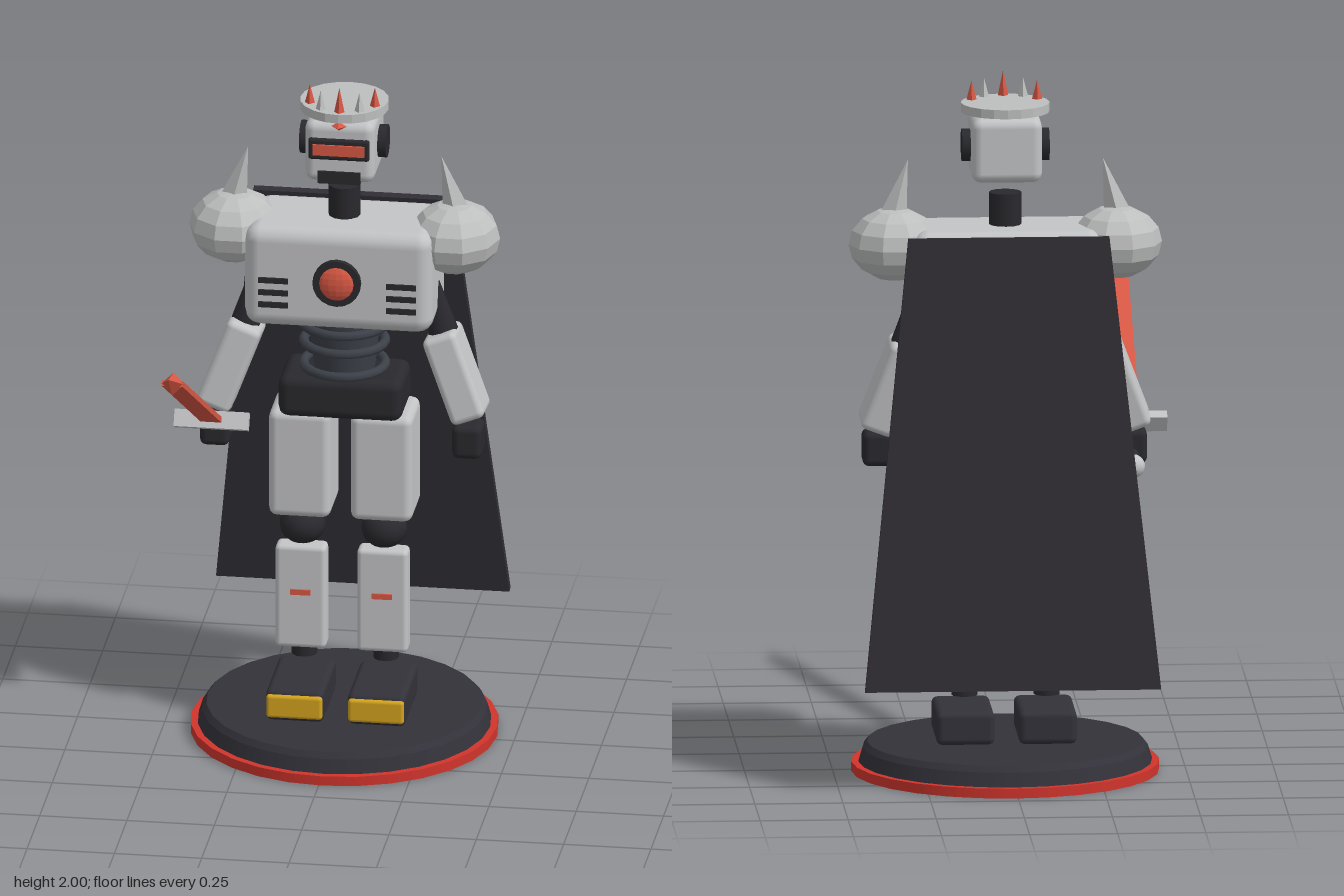
import * as THREE from 'three';
import { RoundedBoxGeometry } from 'three/addons/geometries/RoundedBoxGeometry.js';

export function createModel() {
  const mat = (name, color, flatShading = false) => {
    const m = new THREE.MeshStandardMaterial({ color });
    m.name = name;
    m.flatShading = flatShading;
    return m;
  };
  const armor = mat('armor grey', 0xc3c4c6);
  const steel = mat('facet grey', 0xbdbebe, true);
  const dark = mat('charcoal', 0x33323a);
  const joint = mat('joint black', 0x29292e);
  const rib = mat('rib slate', 0x3c4048);
  const cloth = mat('cape charcoal', 0x302e34);
  const red = mat('base red', 0xd0342c);
  const glow = mat('glow red', 0xd95844, true);
  const gold = mat('toe gold', 0xd4a31e);

  const model = new THREE.Group();
  model.name = 'armoredRobot';
  // Everything is built around the axis of the stand
  const body = new THREE.Group();
  body.name = 'figure';
  body.position.set(0.011, 0, -0.275);
  model.add(body);

  const add = (name, geo, material, x, y, z, parent = body) => {
    const m = new THREE.Mesh(geo, material);
    m.name = name;
    m.position.set(x, y, z);
    parent.add(m);
    return m;
  };
  const box = (w, h, d) => new THREE.BoxGeometry(w, h, d);
  const soft = (w, h, d, r = 0.018) => new RoundedBoxGeometry(w, h, d, 2, r);
  const cyl = (rt, rb, h, n = 16) => new THREE.CylinderGeometry(rt, rb, h, n);

  // Stand
  add('standRim', cyl(0.437, 0.437, 0.028, 28), red, 0, 0.014, 0);
  add('standLower', cyl(0.405, 0.417, 0.04, 28), dark, 0, 0.048, 0);
  add('standTop', cyl(0.392, 0.405, 0.017, 28), dark, 0, 0.0765, 0);

  // Pelvis and ribbed waist
  add('pelvis', soft(0.355, 0.125, 0.21, 0.03), joint, 0, 1.043, 0);
  add('waist', cyl(0.108, 0.085, 0.2), rib, 0, 1.19, 0);
  for (const y of [1.245, 1.19, 1.12]) {
    const ring = add('waistRing', new THREE.TorusGeometry(0.116, 0.014, 8, 24), rib, 0, y, 0);
    ring.rotation.x = Math.PI / 2;
  }

  // Chest with glowing core
  add('chest', soft(0.54, 0.305, 0.29, 0.045), armor, 0, 1.422, 0);
  add('coreRing', cyl(0.069, 0.069, 0.03, 20), joint, 0, 1.423, 0.147).rotation.x = Math.PI / 2;
  const core = add('core', new THREE.SphereGeometry(0.057, 16, 10), glow, 0, 1.423, 0.15);
  core.scale.z = 0.45;
  add('neck', cyl(0.046, 0.046, 0.12, 12), joint, 0, 1.607, 0);

  // Head
  add('head', soft(0.2, 0.185, 0.22, 0.028), armor, 0, 1.802, 0);
  add('visor', soft(0.175, 0.064, 0.02, 0.008), joint, 0, 1.815, 0.11);
  add('visorGlow', box(0.148, 0.032, 0.008), glow, 0, 1.815, 0.122);
  add('chinGuard', box(0.122, 0.037, 0.02), joint, 0, 1.729, 0.106);
  add('ears', cyl(0.047, 0.047, 0.248, 16), joint, 0, 1.804, 0).rotation.z = Math.PI / 2;

  // Crown with alternating spikes along its front
  add('crownDisc', cyl(0.126, 0.126, 0.026, 20), steel, 0, 1.913, 0);
  add('crownGem', new THREE.OctahedronGeometry(0.022), glow, 0, 1.886, 0.11).scale.y = 0.6;
  for (let i = -2; i <= 2; i++) {
    const a = i * 0.575, h = i === 0 ? 0.08 : 0.062;
    add('crownSpike', new THREE.ConeGeometry(0.016, h, 4), i % 2 ? steel : glow,
      Math.sin(a) * 0.102, 1.92 + h / 2, Math.cos(a) * 0.102);
  }

  // Mirrored limbs
  for (const s of [-1, 1]) {
    const side = s > 0 ? 'left' : 'right';

    for (const y of [1.418, 1.381, 1.344]) add(side + 'Vent', box(0.085, 0.016, 0.009), joint, s * 0.183, y, 0.147);

    // Shoulder and arm
    const pad = add(side + 'Shoulder', new THREE.SphereGeometry(1, 10, 8), steel, s * 0.315, 1.521, -0.005);
    pad.scale.set(0.13, 0.104, 0.135);
    const spike = add(side + 'ShoulderSpike', new THREE.ConeGeometry(0.044, 0.19, 4), steel, s * 0.3, 1.672, -0.005);
    spike.rotation.z = s * 0.25;
    spike.scale.z = 0.7;
    const upper = add(side + 'UpperArm', cyl(0.01, 0.046, 0.2, 10), joint, s * 0.268, 1.315, 0);
    upper.rotation.z = s * 0.18;
    const fore = add(side + 'Forearm', soft(0.102, 0.265, 0.15, 0.02), armor, s * 0.322, 1.11, 0.012);
    fore.rotation.set(-0.1, 0, s * 0.36);
    add(side + 'Hand', soft(0.086, 0.1, 0.096, 0.02), joint, s * 0.361, 0.926, 0.043);

    // Leg
    const x = s * 0.117;
    add(side + 'Thigh', soft(0.178, 0.323, 0.19, 0.025), armor, x, 0.834, 0);
    const knee = add(side + 'Knee', new THREE.SphereGeometry(0.066, 14, 10), joint, x, 0.628, 0.02);
    knee.scale.y = 0.85;
    add(side + 'ShinCore', cyl(0.03, 0.037, 0.38, 12), joint, x, 0.41, -0.015);
    add(side + 'ShinGuard', soft(0.146, 0.312, 0.065, 0.015), armor, x, 0.42, 0.035);
    add(side + 'ShinLight', box(0.058, 0.016, 0.009), glow, x, 0.437, 0.069);
    add(side + 'Foot', soft(0.165, 0.096, 0.27, 0.018), dark, x, 0.133, 0.05);
    add(side + 'ToePlate', soft(0.16, 0.07, 0.022, 0.01), gold, x, 0.132, 0.183);
  }

  // Sword, pointing forward and up from the right hand
  const sword = new THREE.Group();
  sword.name = 'sword';
  sword.position.set(-0.361, 0.975, 0.132);
  sword.rotation.x = -0.5;
  body.add(sword);
  add('guard', box(0.212, 0.05, 0.032), armor, 0, 0, 0, sword);
  add('grip', cyl(0.02, 0.02, 0.19, 10), joint, 0, 0, -0.1, sword).rotation.x = Math.PI / 2;
  add('pommel', new THREE.SphereGeometry(0.034, 12, 8), armor, 0, 0, -0.2, sword);
  add('blade', box(0.06, 0.016, 0.88), glow, 0, 0, 0.45, sword);
  add('bladeTip', new THREE.ConeGeometry(0.033, 0.1, 4), glow, 0, 0, 0.929, sword).rotation.x = Math.PI / 2;

  // Cape: a flared panel leaning back
  const shape = new THREE.Shape();
  shape.moveTo(-0.42, -1.286);
  shape.lineTo(0.42, -1.286);
  shape.lineTo(0.285, 0);
  shape.lineTo(-0.285, 0);
  const cape = add('cape', new THREE.ExtrudeGeometry(shape, { depth: 0.025, bevelEnabled: false }), cloth, 0, 1.57, -0.184);
  cape.rotation.x = 0.157;

  return model;
}
